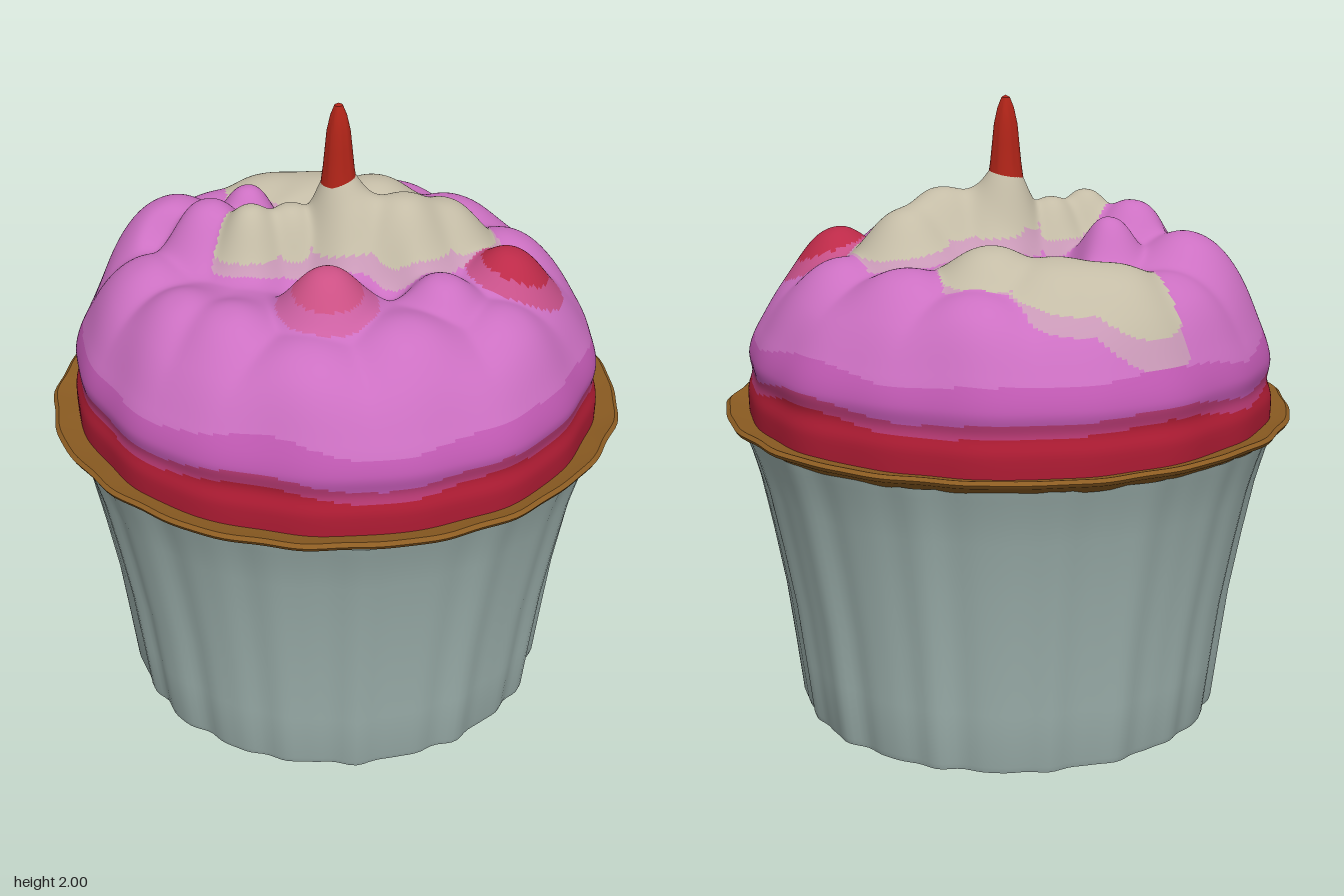
import * as THREE from 'three';
import { toCreasedNormals } from 'three/addons/utils/BufferGeometryUtils.js';

const V = (x, y) => new THREE.Vector2(x, y);
const mat = (color) => new THREE.MeshStandardMaterial({ color, side: THREE.DoubleSide });

// Lathe whose radius is scaled by a rule of angle and height
function wavyLathe(name, color, pts, rule, segments = 192) {
  const g = new THREE.LatheGeometry(pts.map(([r, y]) => V(r, y)), segments);
  const p = g.attributes.position;
  for (let i = 0; i < p.count; i++) {
    const x = p.getX(i), z = p.getZ(i), k = rule(Math.atan2(x, z), p.getY(i));
    p.setX(i, x * k);
    p.setZ(i, z * k);
  }
  g.deleteAttribute('uv');
  const mesh = new THREE.Mesh(toCreasedNormals(g, 0.7), mat(color));
  mesh.name = name;
  return mesh;
}

// Irregular pleats of the paper cup, and the gentle wave of its lip
const pleats = (a, y) => 1 + (1 - 0.5 * y) *
  (0.01 * Math.sin(22 * a + Math.sin(3 * a)) + 0.006 * Math.sin(13 * a + 1) + 0.004 * Math.sin(37 * a));
const lipWave = (a) => 1 + 0.004 * Math.sin(17 * a) + 0.003 * Math.sin(7 * a + 2) + 0.003 * Math.sin(26 * a);

// Frosting lumps: x, z, height, radius, kind
const lumps = [
  [0.015, -0.01, 0.27, 0.1, 'cream'], [0.04, 0.03, 0.21, 0.14, 'cream'],
  [-0.12, -0.07, 0.16, 0.11, 'cream'], [-0.25, -0.1, 0.18, 0.11, 'cream'],
  [0.17, 0.13, 0.2, 0.15, 'cream'], [0.32, 0.13, 0.16, 0.15, 'cream'],
  [0.08, -0.58, 0.08, 0.17, 'cream'], [0.2, -0.45, 0.08, 0.18, 'cream'], [0.32, -0.27, 0.1, 0.15, 'cream'],
  [-0.23, 0.32, 0.145, 0.13, 'rose'], [0.4, 0.4, 0.11, 0.13, 'berry'],
  [-0.13, -0.33, 0.14, 0.1, 'pink'], [-0.32, -0.25, 0.17, 0.14, 'pink'], [-0.35, -0.5, 0.13, 0.18, 'pink'],
  [-0.58, -0.24, 0.07, 0.15, 'pink'], [-0.6, 0.05, 0.07, 0.14, 'pink'], [-0.52, 0.22, 0.07, 0.14, 'pink'],
  [-0.42, 0.5, 0.05, 0.15, 'pink'], [-0.1, 0.57, 0.06, 0.15, 'pink'], [0.12, 0.43, 0.08, 0.11, 'pink'],
  [0.25, 0.62, 0.05, 0.13, 'pink'], [0.56, 0.2, 0.06, 0.13, 'pink'], [0.55, -0.12, 0.06, 0.14, 'pink'],
  [0.53, -0.42, 0.05, 0.14, 'pink'], [-0.12, -0.66, 0.06, 0.15, 'pink'],
];
const dips = [[0.03, -0.25, 0.08, 0.08], [-0.42, -0.36, 0.04, 0.06], [-0.2, 0.12, 0.05, 0.1], [0.02, 0.28, 0.05, 0.07]];
const bell = (x, z, [cx, cz, h, s]) => h * Math.exp(-Math.pow(Math.hypot(x - cx, z - cz) / s, 2.5));

// Lump height at a point, with the colour of the strongest lump and a softer ring around it
function lumpAt(x, z) {
  let sum = 0, best = 0, kind = 'pink';
  for (const l of lumps) {
    const b = bell(x, z, l);
    sum += b ** 4;
    if (b > best) {
      best = b;
      const share = b / l[2], core = l[4] === 'cream' ? 0.3 : 0.55;
      kind = l[4] === 'pink' || share < core / 2.5 ? 'pink' : share > core ? l[4] : l[4] + 'Edge';
    }
  }
  let y = Math.pow(sum, 0.25);
  for (const d of dips) y -= bell(x, z, d);
  return { y, kind };
}

// Name and colour of each frosting zone
const looks = {
  band: ['redLowerBand', 0xb01c34], blend: ['bandTransition', 0xb83a74], skirt: ['frostingSkirt', 0xc25ab4],
  pink: ['pinkFrosting', 0xcc70c2],
  cream: ['creamSwirls', 0xc4bca6], creamEdge: ['creamBlush', 0xc898b6],
  berry: ['redBerry', 0xbc2a48], berryEdge: ['redBerryBlush', 0xc65088],
  rose: ['pinkBerry', 0xcc5084], roseEdge: ['pinkBerryBlush', 0xcc60a2],
};

// One lumpy dome, split into coloured patches that share its smooth normals
function buildFrosting() {
  const group = new THREE.Group();
  group.name = 'frosting';
  const rows = 140, cols = 320;
  const profile = new THREE.SplineCurve([
    V(0.001, 1.51), V(0.2, 1.51), V(0.4, 1.49), V(0.58, 1.455), V(0.71, 1.385), V(0.79, 1.275),
    V(0.825, 1.19), V(0.818, 1.12), V(0.832, 1.06), V(0.83, 0.97),
  ]).getSpacedPoints(rows);
  const pos = [], zones = [];
  for (const { x: r0, y: y0 } of profile) {
    for (let j = 0; j < cols; j++) {
      const a = (j / cols) * Math.PI * 2;
      const side = THREE.MathUtils.smoothstep(r0, 0.5, 0.8);
      const r = r0 * (1 + side * (0.005 * Math.sin(9 * a) + 0.005 * Math.sin(5 * a + 1) + 0.004 * Math.sin(17 * a)));
      const x = r * Math.sin(a), z = r * Math.cos(a) * 1.02;
      const lump = lumpAt(x, z);
      pos.push(x, y0 + lump.y * THREE.MathUtils.smoothstep(y0, 1.12, 1.35), z);
      const edge = 1.12 + 0.015 * Math.sin(5 * a) + 0.01 * Math.sin(8 * a + 2);
      zones.push(y0 < edge ? 'band' : y0 < edge + 0.04 ? 'blend' : y0 < edge + 0.14 ? 'skirt' : lump.kind);
    }
  }
  const index = Object.fromEntries(Object.keys(looks).map((zone) => [zone, []]));
  for (let i = 0; i < rows; i++) {
    for (let j = 0; j < cols; j++) {
      const k = (j + 1) % cols;
      const a = i * cols + j, b = a + cols, c = (i + 1) * cols + k, d = i * cols + k;
      index[zones[a]].push(a, b, c, a, c, d);
    }
  }
  const whole = new THREE.BufferGeometry();
  whole.setAttribute('position', new THREE.Float32BufferAttribute(pos, 3));
  whole.setIndex(Object.values(index).flat());
  whole.computeVertexNormals();
  for (const [zone, [name, color]] of Object.entries(looks)) {
    const g = new THREE.BufferGeometry();
    g.setAttribute('position', whole.attributes.position);
    g.setAttribute('normal', whole.attributes.normal);
    g.setIndex(index[zone]);
    const mesh = new THREE.Mesh(g, mat(color));
    mesh.name = name;
    group.add(mesh);
  }
  return group;
}

export function createModel() {
  const model = new THREE.Group();
  model.name = 'cupcake';

  // Pleated paper cup with a closed base
  model.add(wavyLathe('paperCup', 0xa0b4b0, [
    [0, 0], [0.3, 0], [0.67, 0], [0.677, 0.02], [0.7, 0.2], [0.727, 0.4], [0.765, 0.6],
    [0.803, 0.78], [0.832, 0.88], [0.85, 0.93], [0.862, 0.965],
  ], pleats));

  // Baked lip around the top of the cup
  model.add(wavyLathe('crustRim', 0x8c5c22, [
    [0.81, 0.96], [0.85, 0.955], [0.878, 0.975], [0.905, 0.988], [0.912, 1.0], [0.9, 1.01], [0.87, 1.002], [0.81, 0.99],
  ], lipWave));

  model.add(buildFrosting());

  // Small red candle tip on the central peak
  const candle = wavyLathe('candle', 0xb02418, [
    [0.056, 1.74], [0.049, 1.79], [0.043, 1.85], [0.037, 1.91], [0.026, 1.96], [0.013, 1.993], [0, 2],
  ], () => 1, 32);
  candle.position.set(0.015, 0, -0.005);
  model.add(candle);

  return model;
}
